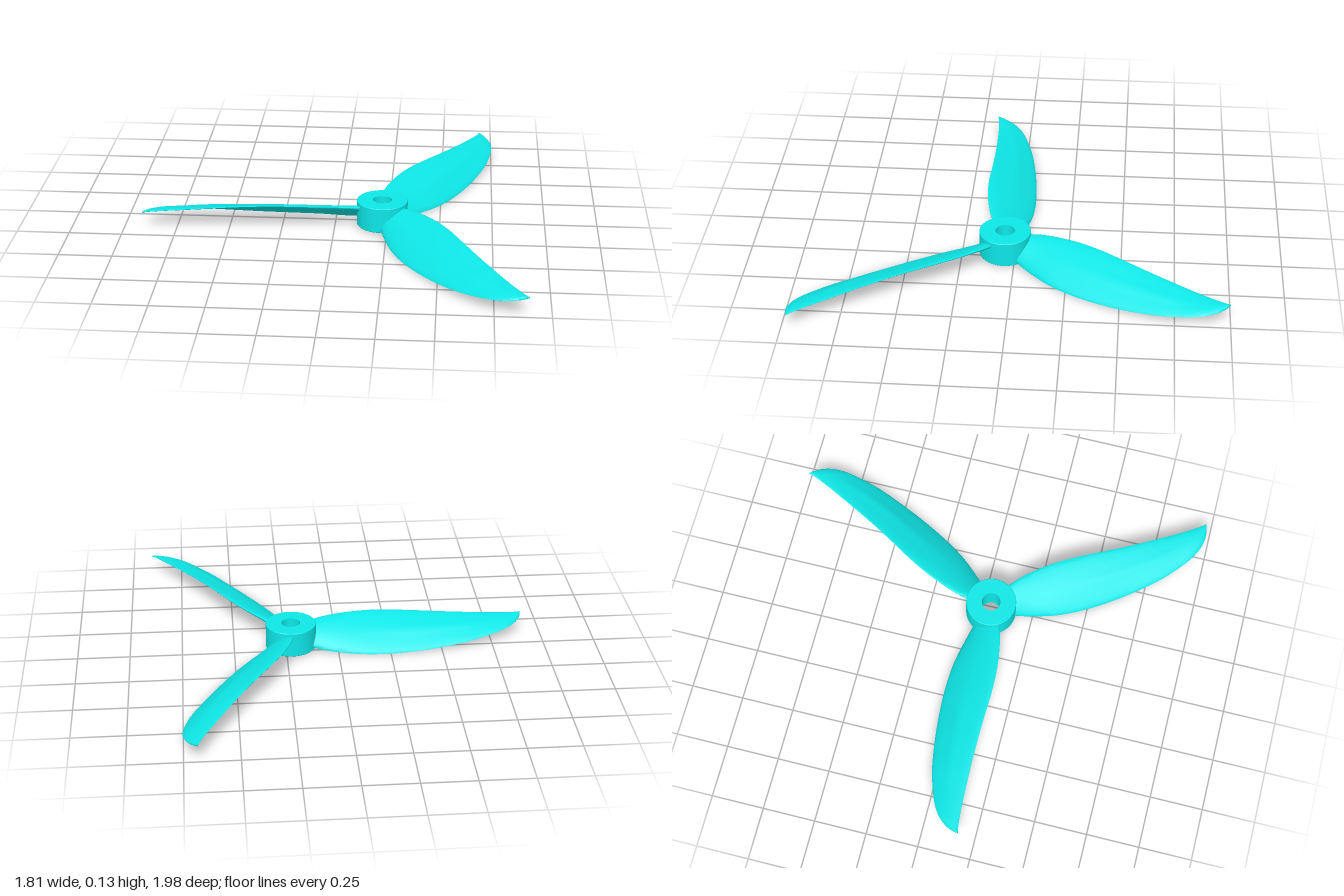
import * as THREE from 'three';
import { toCreasedNormals } from 'three/addons/utils/BufferGeometryUtils.js';

const HUB = { x: 0.225, z: 0.047, radius: 0.121, bore: 0.045, bottom: 0.008, top: 0.13 };

// Blade stations: radius, low edge (y, z), high edge (y, z), thickness
const STATIONS = [
  [0.065, 0.03, -0.05, 0.105, 0.05, 0.036],
  [0.16, 0.014, -0.077, 0.118, 0.083, 0.032],
  [0.30, 0.005, -0.108, 0.126, 0.107, 0.026],
  [0.43, 0.002, -0.117, 0.128, 0.113, 0.022],
  [0.58, 0.006, -0.112, 0.122, 0.108, 0.019],
  [0.72, 0.016, -0.097, 0.112, 0.105, 0.017],
  [0.85, 0.03, -0.075, 0.102, 0.106, 0.015],
  [0.94, 0.042, -0.049, 0.095, 0.108, 0.013],
  [1.02, 0.054, -0.018, 0.09, 0.111, 0.012],
  [1.075, 0.063, 0.017, 0.087, 0.115, 0.011],
  [1.112, 0.07, 0.058, 0.085, 0.119, 0.01],
  [1.13, 0.076, 0.095, 0.084, 0.122, 0.01],
  [1.136, 0.082, 0.119, 0.083, 0.124, 0.009],
];

function bladeGeometry(rings = 72, sides = 32) {
  const curve = (f) => new THREE.CatmullRomCurve3(STATIONS.map(f));
  const low = curve(([r, y, z]) => new THREE.Vector3(-r, y, z));
  const high = curve(([r, , , y, z]) => new THREE.Vector3(-r, y, z));
  const thick = curve(([r, , , , , t]) => new THREE.Vector3(r, t, 0));
  const positions = [], index = [];

  for (let i = 0; i <= rings; i++) {
    const t = i / rings;
    const a = low.getPoint(t), b = high.getPoint(t);
    const half = thick.getPoint(t).y / 2;
    const chord = b.clone().sub(a);
    const up = new THREE.Vector3(0, chord.z, -chord.y).normalize();
    // Raised rib along the middle of the upper face
    const rib = 0.005 * Math.sin(Math.PI * THREE.MathUtils.clamp((t - 0.15) / 0.5, 0, 1));
    for (let j = 0; j < sides; j++) {
      const angle = (j / sides) * Math.PI * 2;
      const s = 0.5 + 0.5 * Math.cos(angle);
      const camber = chord.length() * 0.16 * s * (1 - s);
      let h = camber + half * Math.sin(angle);
      if (angle < Math.PI) h += rib * Math.exp(-(((s - 0.5) / 0.1) ** 2));
      const p = a.clone().addScaledVector(chord, s).addScaledVector(up, h);
      positions.push(p.x, p.y, p.z);
      if (i < rings) {
        const k = (j + 1) % sides, m = i * sides, n = m + sides;
        index.push(m + j, m + k, n + j, m + k, n + k, n + j);
      }
    }
  }

  // Tip cap
  const tip = low.getPoint(1).lerp(high.getPoint(1), 0.5);
  const centre = positions.length / 3;
  positions.push(tip.x, tip.y, tip.z);
  for (let j = 0; j < sides; j++) {
    index.push(centre, rings * sides + j, rings * sides + ((j + 1) % sides));
  }

  const geometry = new THREE.BufferGeometry();
  geometry.setAttribute('position', new THREE.Float32BufferAttribute(positions, 3));
  geometry.setIndex(index);
  return toCreasedNormals(geometry, 0.9);
}

function hubGeometry() {
  const { radius, bore, bottom, top } = HUB;
  const c = 0.003;
  const profile = [
    [bore, bottom], [radius - c, bottom], [radius, bottom + c],
    [radius, top - c], [radius - c, top], [bore, top], [bore, bottom],
  ].map(([x, y]) => new THREE.Vector2(x, y));
  return toCreasedNormals(new THREE.LatheGeometry(profile, 64), 0.5);
}

export function createModel() {
  const material = new THREE.MeshStandardMaterial({ color: 0x0ee6e6 });
  const propeller = new THREE.Group();
  propeller.name = 'propeller';
  propeller.position.set(HUB.x, 0, HUB.z);

  // Bored hub
  const hub = new THREE.Mesh(hubGeometry(), material);
  hub.name = 'hub';
  propeller.add(hub);

  // Three twisted, swept blades
  const geometry = bladeGeometry();
  for (let i = 0; i < 3; i++) {
    const blade = new THREE.Mesh(geometry, material);
    blade.name = `blade${i + 1}`;
    blade.rotation.y = (i * Math.PI * 2) / 3;
    propeller.add(blade);
  }

  const model = new THREE.Group();
  model.add(propeller);
  return model;
}
